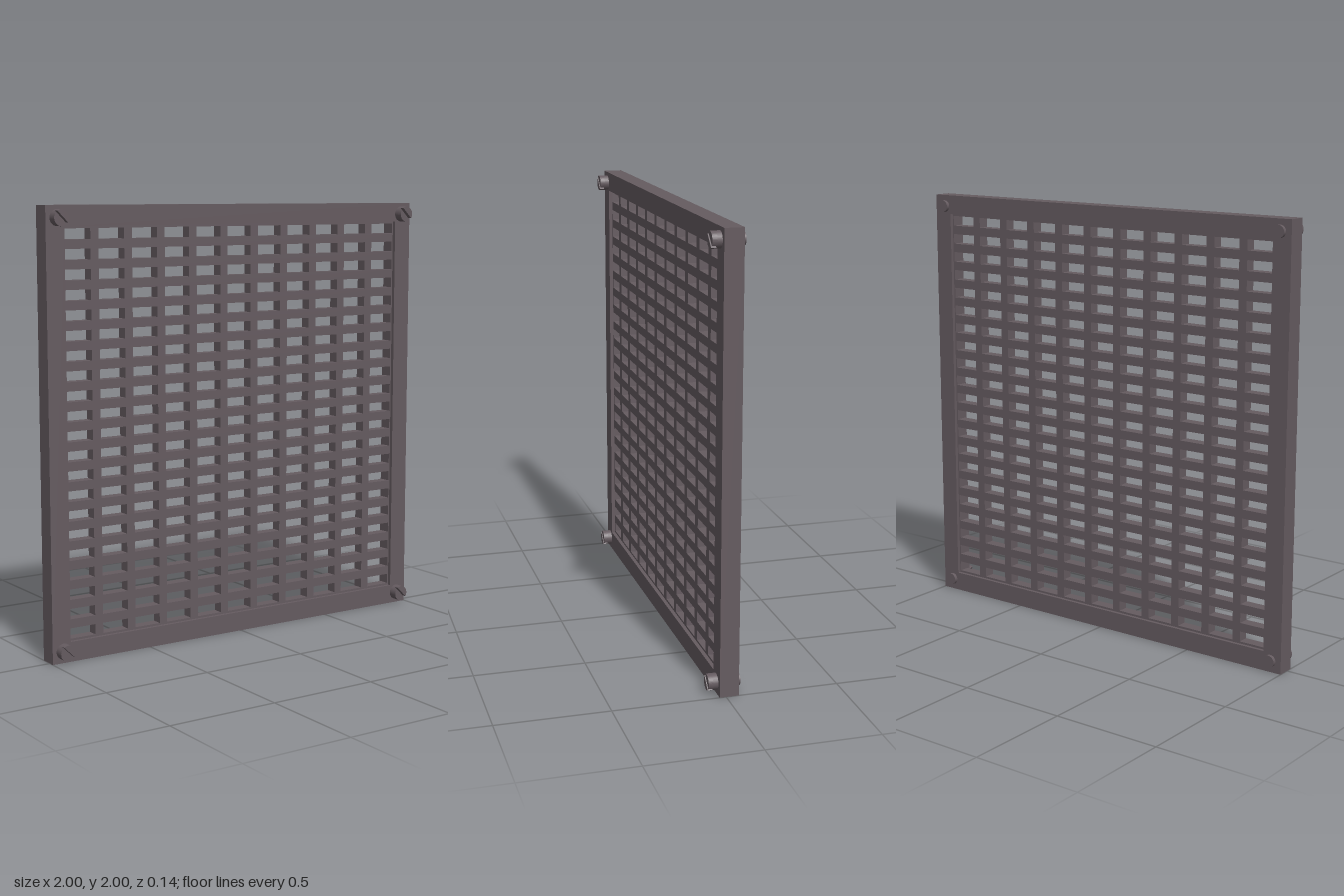
import * as THREE from 'three';

const rect = (P, x0, y0, x1, y1) => {
  const p = new P();
  p.moveTo(x0, y0);
  p.lineTo(x1, y0);
  p.lineTo(x1, y1);
  p.lineTo(x0, y1);
  p.closePath();
  return p;
};

export function createModel() {
  const group = new THREE.Group();
  const metal = new THREE.MeshStandardMaterial({ color: 0x655b60 });
  metal.name = 'dark metal';

  const add = (name, geometry, parent = group) => {
    const mesh = new THREE.Mesh(geometry, metal);
    mesh.name = name;
    parent.add(mesh);
    return mesh;
  };
  const extrude = (shape, z0, z1, curveSegments = 12) =>
    new THREE.ExtrudeGeometry(shape, { depth: z1 - z0, bevelEnabled: false, curveSegments }).translate(0, 0, z0);

  // Square outer frame
  const frame = rect(THREE.Shape, -1, 0, 1, 2);
  frame.holes.push(rect(THREE.Path, -0.91, 0.09, 0.91, 1.91));
  add('frame', extrude(frame, -0.056, 0.029));

  // Recessed grating with 11 x 21 rectangular openings
  const grating = rect(THREE.Shape, -0.93, 0.07, 0.93, 1.93);
  const cols = 11, rows = 21, px = 0.168, py = 0.0877, w = 0.128, h = 0.047;
  for (let i = 0; i < cols; i++) {
    for (let j = 0; j < rows; j++) {
      const x = (i - (cols - 1) / 2) * px;
      const y = 1 + (j - (rows - 1) / 2) * py;
      grating.holes.push(rect(THREE.Path, x - w / 2, y - h / 2, x + w / 2, y + h / 2));
    }
  }
  add('grating', extrude(grating, -0.04, 0.012));

  // Slotted screw heads in front, plain rivet ends behind
  const r = 0.036, slot = 0.007, a = Math.asin(slot / r);
  const half = new THREE.Shape();
  half.absarc(0, 0, r, a, Math.PI - a, false);
  half.closePath();
  const halfHead = extrude(half, 0.05, 0.072, 10);
  const headBase = new THREE.CylinderGeometry(r, r, 0.024, 20).rotateX(Math.PI / 2).translate(0, 0, 0.038);
  const end = new THREE.CylinderGeometry(0.028, 0.028, 0.024, 20).rotateX(Math.PI / 2).translate(0, 0, -0.06);
  for (const x of [-0.945, 0.945]) {
    for (const y of [0.053, 1.947]) {
      const screw = new THREE.Group();
      screw.name = 'screw';
      screw.position.set(x, y, 0);
      screw.rotation.z = -Math.PI / 4;
      add('screwHeadBase', headBase, screw);
      add('screwHeadHalf', halfHead, screw);
      add('screwHeadHalf', halfHead, screw).rotation.z = Math.PI;
      add('screwEnd', end, screw);
      group.add(screw);
    }
  }
  return group;
}
